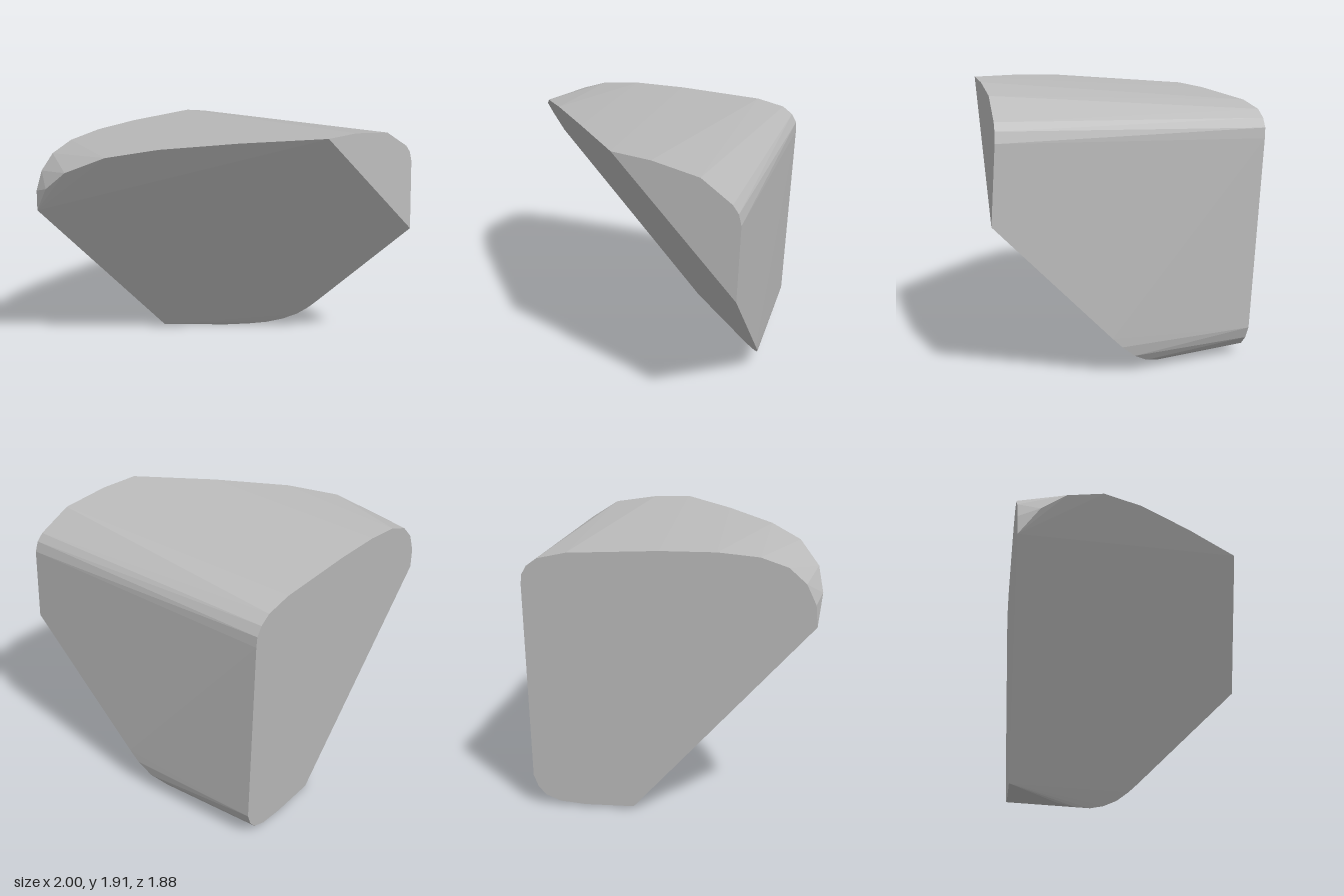
import * as THREE from 'three';
import { ConvexGeometry } from 'three/addons/geometries/ConvexGeometry.js';

// Planes that bound the block, each giving z for a point (x, y)
const backPlane = (x, y) => -0.8235 - 0.05 * x - 0.045 * y;
const frontPlane = (x, y) => 0.825 + 0.077 * (x - 0.14) - 0.06 * (y - 1.91);
const cutPlane = (x, y) => 0.825 + 1.002 * (x - 0.14) + 0.915 * (y - 1.91);

// Rounded outline of the back face
const backOutline = [
  [0.2, 0.02], [0.53, 0.015], [0.70, 0.03], [0.80, 0.07], [0.85, 0.13], [0.88, 0.21],
  [0.89, 1.52], [0.885, 1.59], [0.85, 1.65], [0.78, 1.70], [0.59, 1.74],
  [0, 1.765], [-0.36, 1.765], [-0.625, 1.74], [-0.80, 1.68], [-0.91, 1.58], [-0.97, 1.45], [-0.98, 1.31],
];

// Rounded outline of the small front face
const frontOutline = [
  [0.14, 1.91], [0.41, 1.9], [0.73, 1.85], [0.94, 1.72], [0.98, 1.67], [1, 1.6], [1, 1.1],
];

// Curved edges of the slanted cut: along the top, then round the bottom corner
const cutOutline = [
  [-0.25, 1.877], [-0.6, 1.83], [-0.82, 1.765], [-0.96, 1.64], [-1, 1.5],
  [0.95, 0.28], [0.943, 0.21], [0.92, 0.13], [0.87, 0.07], [0.8, 0.03], [0.7, 0.01], [0.57, 0],
];

const onPlane = (outline, plane) => outline.map(([x, y]) => new THREE.Vector3(x, y, plane(x, y)));

export function createModel() {
  const grey = new THREE.MeshStandardMaterial({ color: 0xbababa });
  grey.name = 'light grey';

  // Rounded block with one corner sliced away
  const block = new THREE.Mesh(new ConvexGeometry([
    ...onPlane(backOutline, backPlane),
    ...onPlane(frontOutline, frontPlane),
    ...onPlane(cutOutline, cutPlane),
  ]), grey);
  block.name = 'cutBlock';

  const model = new THREE.Group();
  model.name = 'slicedRoundedBlock';
  model.add(block);
  return model;
}
